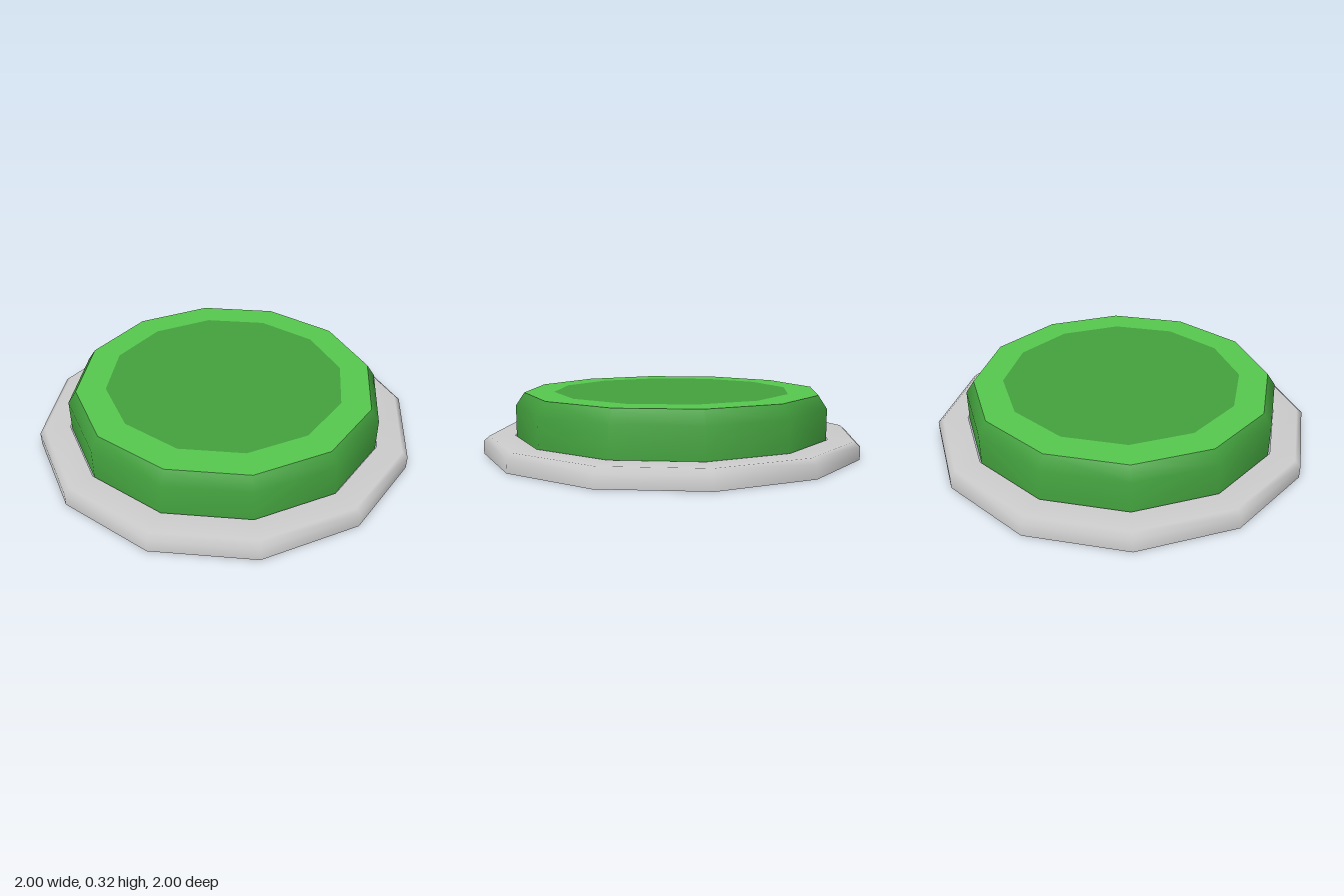
import * as THREE from 'three';

const SIDES = 12;

export function createModel() {
  const model = new THREE.Group();
  model.name = 'pushButton';

  const material = (color) => new THREE.MeshStandardMaterial({ color, side: THREE.DoubleSide });
  const grey = material(0xcccccc);
  const green = material(0x43a13e);
  const lightGreen = material(0x57c84e);

  const add = (name, geometry, mat) => {
    const mesh = new THREE.Mesh(geometry, mat);
    mesh.name = name;
    model.add(mesh);
    return mesh;
  };
  // Open shell turned from [radius, height] pairs
  const turned = (profile) =>
    new THREE.LatheGeometry(profile.map(([r, y]) => new THREE.Vector2(r, y)), SIDES);

  // Base collar, hollow underneath, with a bevelled rim
  add('baseRing', turned([[1, 0], [1, 0.067], [0.97, 0.093], [0.838, 0.093]]), grey);

  // Button wall with a bevelled shoulder, open below
  add('buttonWall', turned([[0.83, 0.08], [0.83, 0.25], [0.785, 0.317]]), green);

  // Flat button top: light border around a darker centre
  const border = new THREE.RingGeometry(0.63, 0.785, SIDES, 1).rotateX(-Math.PI / 2);
  add('topBorder', border, lightGreen).position.y = 0.317;

  const centre = new THREE.CircleGeometry(0.63, SIDES).rotateX(-Math.PI / 2);
  add('topCentre', centre, green).position.y = 0.317;

  return model;
}
